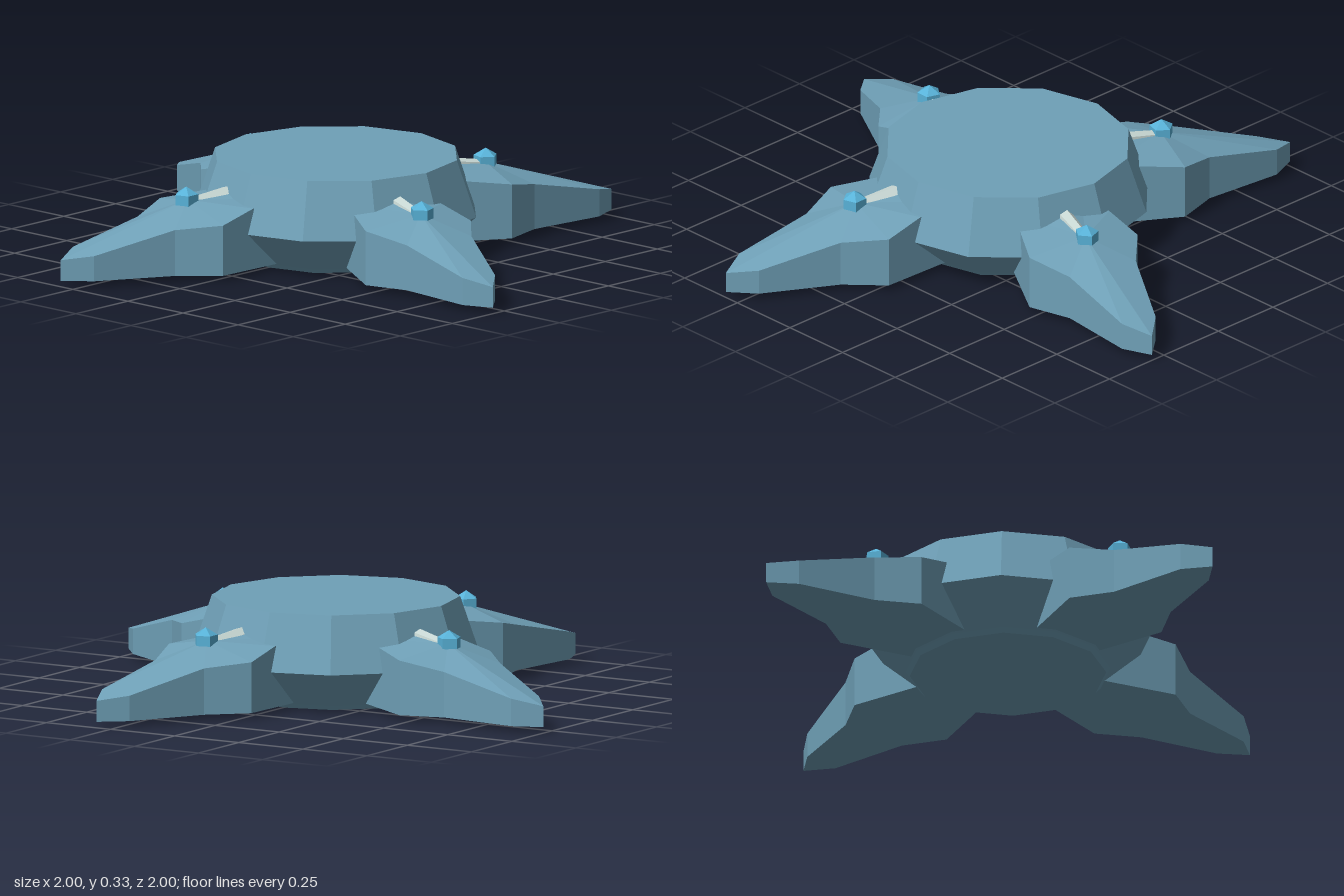
import * as THREE from 'three';

// Split shared vertices so every facet is shaded flat
function faceted(geometry) {
  const g = geometry.index ? geometry.toNonIndexed() : geometry;
  g.computeVertexNormals();
  return g;
}

function lathe(points, sides) {
  return faceted(new THREE.LatheGeometry(points.map(([r, y]) => new THREE.Vector2(r, y)), sides));
}

// Arm: outline of [x, z, top height], walls down to the base, top fanned to a peak
function armGeometry() {
  const base = 0.02;
  const peak = [0.54, 0.24, 0.165];
  const outline = [
    [0.30, -0.045, 0.235], [0.44, -0.04, 0.225], [0.58, -0.035, 0.19],
    [0.69, 0.08, 0.175], [0.93, 0.22, 0.105], [1.0, 0.305, 0.09],
    [0.90, 0.345, 0.112], [0.62, 0.315, 0.172], [0.47, 0.355, 0.203],
    [0.25, 0.215, 0.235], [0.27, 0.08, 0.27],
  ];
  const verts = [];
  outline.forEach(([x, z, h], i) => {
    const [nx, nz, nh] = outline[(i + 1) % outline.length];
    const ct = [x, h, z], cb = [x, base, z];
    const nt = [nx, nh, nz], nb = [nx, base, nz];
    verts.push(...peak, ...nt, ...ct);
    verts.push(...cb, ...ct, ...nt, ...cb, ...nt, ...nb);
    verts.push(peak[0], base, peak[2], ...cb, ...nb);
  });
  const g = new THREE.BufferGeometry();
  g.setAttribute('position', new THREE.Float32BufferAttribute(verts, 3));
  return faceted(g);
}

export function createModel() {
  const hull = new THREE.MeshStandardMaterial({ color: 0x6fa0b7 });
  hull.name = 'steel blue';
  const gem = new THREE.MeshStandardMaterial({ color: 0x58b2d8 });
  gem.name = 'bright blue';
  const pale = new THREE.MeshStandardMaterial({ color: 0xc8d8d4 });
  pale.name = 'pale grey';

  const model = new THREE.Group();
  const add = (parent, name, geometry, material) => {
    const mesh = new THREE.Mesh(geometry, material);
    mesh.name = name;
    parent.add(mesh);
    return mesh;
  };

  // Twelve-sided hub
  add(model, 'hub', lathe([[0, 0], [0.325, 0], [0.338, 0.015], [0.475, 0.14], [0.41, 0.33], [0, 0.33]], 12), hull);

  const armShape = armGeometry();
  const crystalShape = lathe([[0, -0.045], [0.04, -0.02], [0.04, 0.02], [0, 0.045]], 5);
  const rodShape = faceted(new THREE.CylinderGeometry(0.022, 0.032, 0.22, 6));

  // Four arms, each with a crystal and a rod joining it to the hub
  for (let i = 0; i < 4; i++) {
    const arm = new THREE.Group();
    arm.name = 'arm' + (i + 1);
    arm.rotation.y = i * Math.PI / 2;
    model.add(arm);
    add(arm, 'armBody', armShape, hull);
    add(arm, 'crystal', crystalShape, gem).position.set(0.545, 0.24, 0.165);

    const start = new THREE.Vector3(0.34, 0.248, 0.104);
    const end = new THREE.Vector3(0.545, 0.222, 0.165);
    const rod = add(arm, 'rod', rodShape, pale);
    rod.position.lerpVectors(start, end, 0.5);
    rod.quaternion.setFromUnitVectors(new THREE.Vector3(0, 1, 0), end.sub(start).normalize());
  }
  return model;
}
